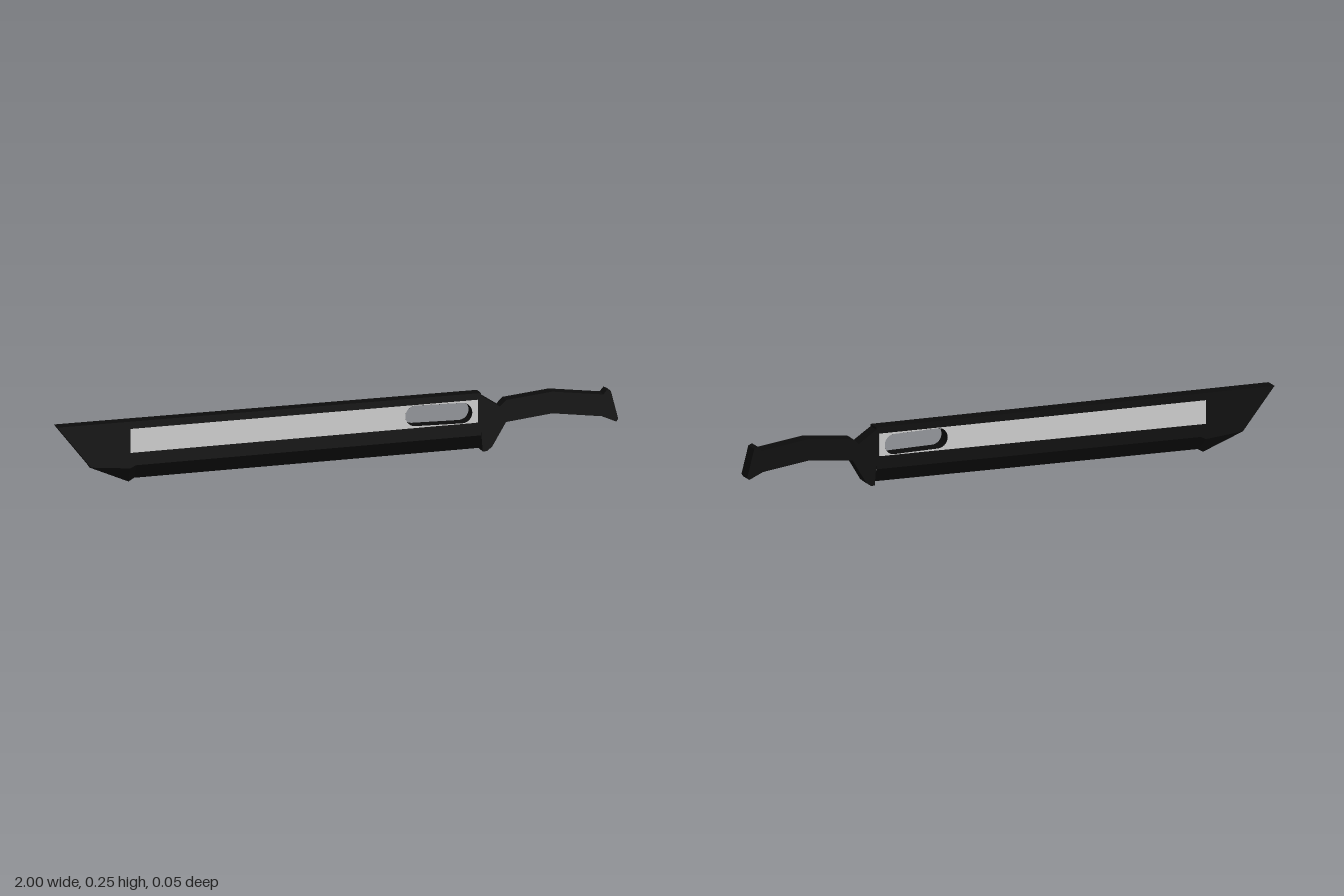
import * as THREE from 'three';

const HALF = 0.025; // half thickness of the blade

function createShape(points) {
  return new THREE.Shape(points.map(([x, y]) => new THREE.Vector2(x, y)));
}

// Rounded slot that pierces the blade near the guard
function slotHole(r) {
  const x0 = 0.277, x1 = 0.443, y = 0.178;
  const path = new THREE.Path();
  path.moveTo(x0, y - r);
  path.lineTo(x1, y - r);
  path.absarc(x1, y, r, -Math.PI / 2, Math.PI / 2, false);
  path.lineTo(x0, y + r);
  path.absarc(x0, y, r, Math.PI / 2, Math.PI * 1.5, false);
  return path;
}

// Flat slab between two z values, with an optional slot
function slab(name, points, material, z0, z1, slotRadius) {
  const shape = createShape(points);
  if (slotRadius) shape.holes.push(slotHole(slotRadius));
  const geometry = new THREE.ExtrudeGeometry(shape, { depth: z1 - z0, bevelEnabled: false, curveSegments: 16 });
  geometry.translate(0, 0, z0);
  const mesh = new THREE.Mesh(geometry, material);
  mesh.name = name;
  return mesh;
}

// V-shaped cutting edge lofted through [x, lowY, highY] stations
function cuttingEdge(stations, material) {
  const pos = [];
  const quad = (a, b, c, d) => pos.push(...a, ...b, ...c, ...a, ...c, ...d);
  for (let i = 0; i < stations.length - 1; i++) {
    const [xa, la, ha] = stations[i];
    const [xb, lb, hb] = stations[i + 1];
    quad([xa, la, 0], [xb, lb, 0], [xb, hb, HALF], [xa, ha, HALF]);
    quad([xb, lb, 0], [xa, la, 0], [xa, ha, -HALF], [xb, hb, -HALF]);
  }
  const geometry = new THREE.BufferGeometry();
  geometry.setAttribute('position', new THREE.Float32BufferAttribute(pos, 3));
  geometry.computeVertexNormals();
  const mesh = new THREE.Mesh(geometry, material);
  mesh.name = 'cuttingEdge';
  return mesh;
}

export function createModel() {
  const group = new THREE.Group();
  group.name = 'sword';
  const black = new THREE.MeshStandardMaterial({ color: 0x0c0c0c, side: THREE.DoubleSide });
  const grey = new THREE.MeshStandardMaterial({ color: 0xcccccc });

  // Blade body with slanted tip, pierced by the slot
  group.add(slab('bladeBody', [
    [-1, 0.212], [-0.88, 0.063], [-0.74, 0.052], [-0.72, 0.062], [0.51, 0.095], [0.51, 0.245], [0.5, 0.245],
  ], black, -HALF, HALF, 0.036));

  group.add(cuttingEdge([
    [-0.88, 0.058, 0.063], [-0.74, 0, 0.052], [-0.72, 0.012, 0.062], [0.51, 0.045, 0.095],
  ], black));

  // Pale inlay on both faces, slightly raised around the slot
  const inlay = [[-0.74, 0.107], [0.5, 0.141], [0.5, 0.222], [-0.74, 0.192]];
  const raised = [[0.18, 0.133], [0.49, 0.1405], [0.49, 0.2215], [0.18, 0.214]];
  for (const side of [1, -1]) {
    const plate = (name, points, top) => {
      const z = [side * (HALF - 0.001), side * top].sort((a, b) => a - b);
      group.add(slab(name, points, grey, z[0], z[1], 0.0365));
    };
    plate(side > 0 ? 'frontInlay' : 'backInlay', inlay, 0.0255);
    plate(side > 0 ? 'frontSlotPlate' : 'backSlotPlate', raised, 0.0262);
  }

  // Guard
  group.add(slab('guard', [
    [0.5, 0.245], [0.49, 0.05], [0.517, 0.037], [0.532, 0.038], [0.55, 0.052],
    [0.6, 0.137], [0.6, 0.195], [0.58, 0.192],
  ].filter(([x]) => x >= 0.5).concat([[0.505, 0.24]]), black, -HALF, HALF));

  // Bent grip
  group.add(slab('grip', [
    [0.575, 0.19], [0.585, 0.125], [0.6, 0.137], [0.765, 0.158], [0.96, 0.135],
    [0.965, 0.212], [0.765, 0.235], [0.6, 0.215],
  ], black, -HALF, HALF));

  // Flared pommel
  group.add(slab('pommel', [
    [0.945, 0.212], [0.935, 0.14], [0.993, 0.115], [1, 0.125], [0.974, 0.224], [0.96, 0.23],
  ], black, -HALF, HALF));

  return group;
}
